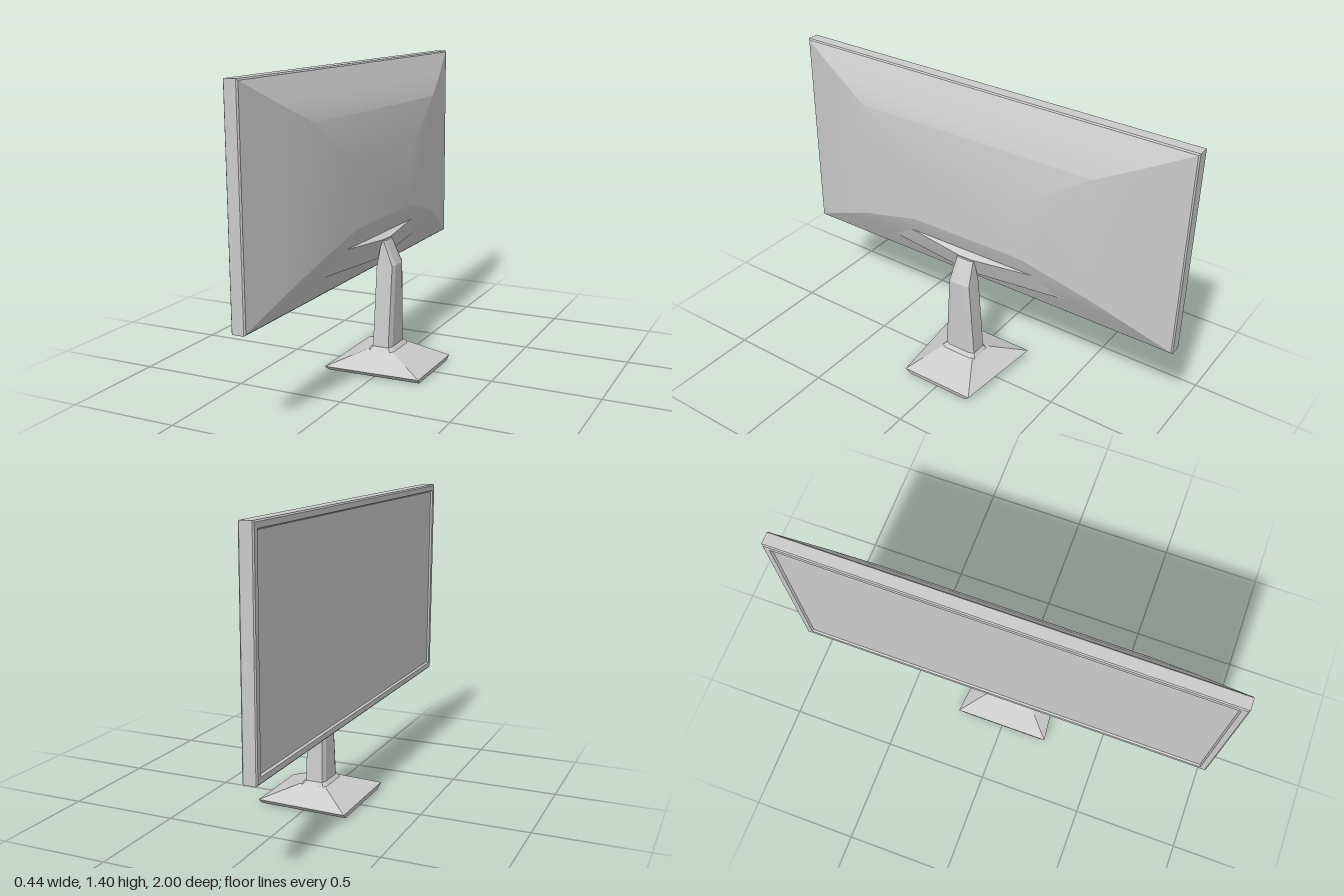
import * as THREE from 'three';
import { toCreasedNormals } from 'three/addons/utils/BufferGeometryUtils.js';

const material = new THREE.MeshStandardMaterial({ color: 0xcccccc });

// Closed solid through a series of rings of [x, y, z] points, capped at both ends.
function loft(name, rings, crease = 0.3) {
  const n = rings[0].length;
  const tris = [];
  for (let r = 0; r < rings.length - 1; r++) {
    for (let i = 0; i < n; i++) {
      const j = (i + 1) % n;
      const [a, b, c, d] = [rings[r][i], rings[r][j], rings[r + 1][j], rings[r + 1][i]];
      tris.push([a, b, c], [a, c, d]);
    }
  }
  const first = rings[0], last = rings[rings.length - 1];
  for (let i = 1; i < n - 1; i++) {
    tris.push([first[0], first[i + 1], first[i]], [last[0], last[i], last[i + 1]]);
  }
  // Turn the faces outward if the rings run the other way round
  let volume = 0;
  for (const [a, b, c] of tris) {
    volume += new THREE.Vector3(...a).dot(new THREE.Vector3(...b).cross(new THREE.Vector3(...c)));
  }
  if (volume < 0) tris.forEach((t) => t.reverse());
  const geometry = new THREE.BufferGeometry();
  geometry.setAttribute('position', new THREE.Float32BufferAttribute(tris.flat(2), 3));
  const mesh = new THREE.Mesh(toCreasedNormals(geometry, crease), material);
  mesh.name = name;
  return mesh;
}

// Upright rectangle at a given depth x
const panelRing = (x, y0, y1, hz) => [[x, y0, -hz], [x, y0, hz], [x, y1, hz], [x, y1, -hz]];

// Rectangle with cut corners, lying flat; y may differ between the two x ends
function columnRing(x0, x1, y0, y1, hz, cx, cz) {
  const y = (x) => y0 + ((y1 - y0) * (x - x0)) / (x1 - x0);
  return [
    [x0, hz - cz], [x0 + cx, hz], [x1 - cx, hz], [x1, hz - cz],
    [x1, cz - hz], [x1 - cx, -hz], [x0 + cx, -hz], [x0, cz - hz],
  ].map(([x, z]) => [x, y(x), z]);
}

// Four-sided base outline, wider on the screen side
const baseRing = (x0, x1, y0, y1, hz0, hz1) => [
  [x0, y0, -hz0], [x0, y0, hz0], [x1, y1, hz1], [x1, y1, -hz1],
];

export function createModel() {
  const model = new THREE.Group();
  model.name = 'monitor';

  // Bezel with softened outer edges and a recessed opening: [x, inset]
  const bezel = [
    [-0.139, 0.006], [-0.145, 0], [-0.198, 0], [-0.203, 0.006], [-0.203, 0.03], [-0.192, 0.036],
  ].map(([x, d]) => panelRing(x, 0.428 + d, 1.4 - d, 1 - d));
  model.add(loft('bezel', bezel));

  // Screen
  const screen = new THREE.Mesh(new THREE.BoxGeometry(0.004, 0.9, 1.928), material);
  screen.name = 'screen';
  screen.position.set(-0.192, 0.914, 0);
  model.add(screen);

  // Bulging rear shell
  model.add(loft('rearShell', [
    panelRing(-0.14, 0.434, 1.394, 0.994),
    panelRing(-0.092, 0.53, 1.296, 0.8),
    panelRing(-0.049, 0.62, 1.2, 0.6),
    panelRing(-0.02, 0.71, 0.995, 0.29),
  ]));

  // Wedge mount, wide at the shell and narrow at the neck
  const mountRing = (xb, yb, hb, xt, yt, ht) => [[xb, yb, -hb], [xb, yb, hb], [xt, yt, ht], [xt, yt, -ht]];
  model.add(loft('tiltMount', [
    mountRing(-0.095, 0.53, 0.5, -0.047, 0.627, 0.34),
    mountRing(-0.052, 0.515, 0.045, -0.012, 0.611, 0.035),
  ]));

  // Tapered neck with chamfered corners and a sloping top
  model.add(loft('neck', [
    columnRing(-0.075, 0.055, 0.094, 0.094, 0.095, 0.012, 0.025),
    columnRing(-0.06, 0.037, 0.112, 0.112, 0.08, 0.01, 0.025),
    columnRing(-0.051, 0.044, 0.485, 0.495, 0.055, 0.009, 0.02),
    columnRing(-0.026, -0.008, 0.611, 0.604, 0.044, 0.005, 0.012),
  ]));

  // Flared base with an undercut rim
  model.add(loft('base', [
    baseRing(-0.218, 0.218, 0.012, 0.002, 0.2, 0.163),
    baseRing(-0.222, 0.222, 0.036, 0.024, 0.23, 0.184),
    baseRing(-0.076, 0.056, 0.096, 0.096, 0.095, 0.09),
  ], 0.2));

  return model;
}
